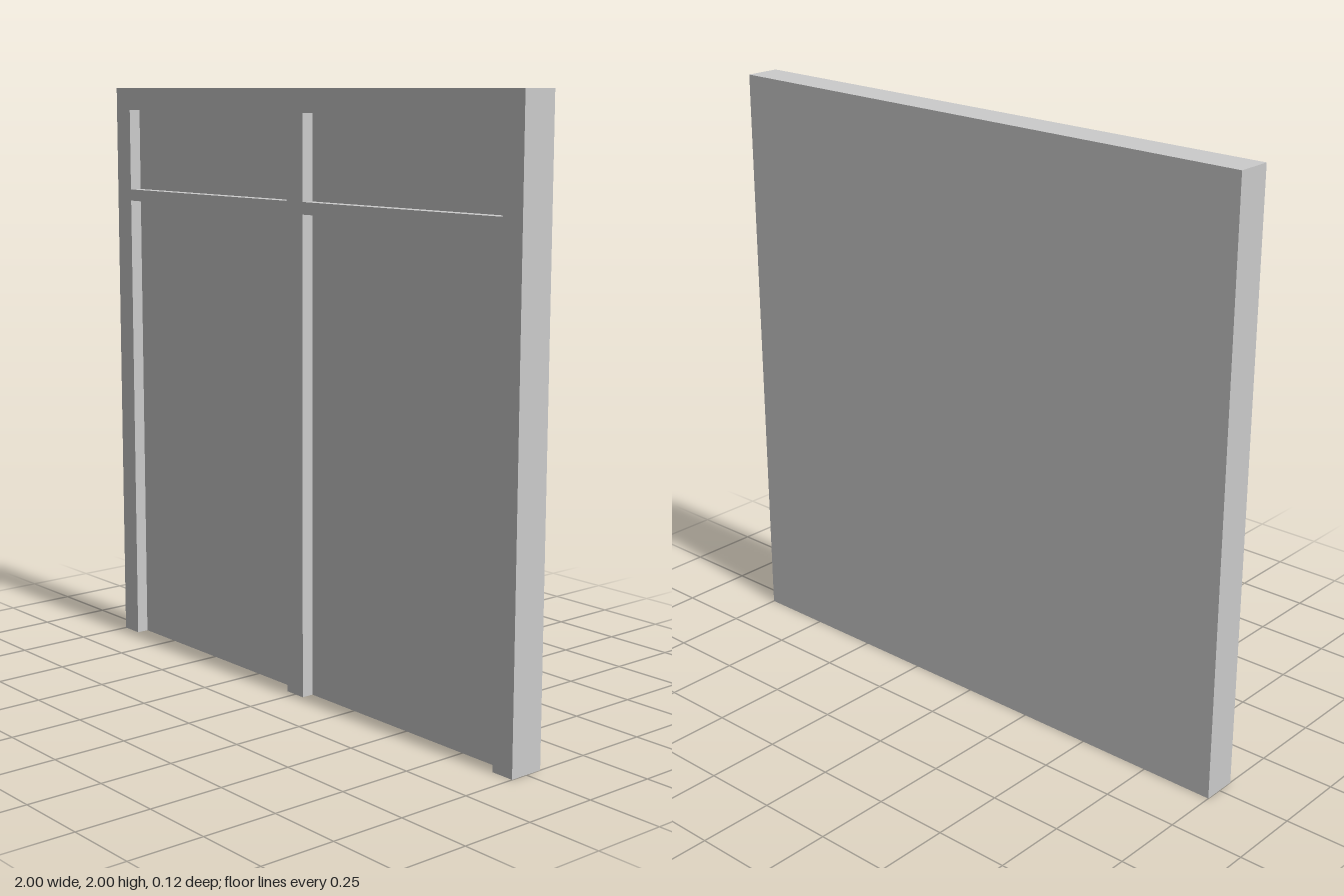
import * as THREE from 'three';

export function createModel() {
  const model = new THREE.Group();
  model.name = 'doubleDoorPanel';
  const material = new THREE.MeshStandardMaterial({ color: 0xcccccc, flatShading: true });

  const back = -0.06, recess = 0.018, front = 0.06;
  const inner = 0.04, outer = 0.92;            // opening edges either side of the middle post
  const doorTop = 1.603, lightBottom = 1.643, lightTop = 1.923;

  // Backing slab forming the recessed doors and top panels
  const slab = new THREE.Mesh(new THREE.BoxGeometry(2, 2, recess - back), material);
  slab.name = 'backPanel';
  slab.position.set(0, 1, (back + recess) / 2);
  model.add(slab);

  // Raised frame: outline open at the floor for both doors
  const outline = [
    [-1, 0], [-outer, 0], [-outer, doorTop], [-inner, doorTop], [-inner, 0],
    [inner, 0], [inner, doorTop], [outer, doorTop], [outer, 0], [1, 0], [1, 2], [-1, 2],
  ];
  const shape = new THREE.Shape(outline.map(([x, y]) => new THREE.Vector2(x, y)));

  // Upper panel openings, mirrored about the middle post
  for (const side of [-1, 1]) {
    const hole = [[inner, lightBottom], [inner, lightTop], [outer, lightTop], [outer, lightBottom]];
    shape.holes.push(new THREE.Path(hole.map(([x, y]) => new THREE.Vector2(side * x, y))));
  }

  const frame = new THREE.Mesh(
    new THREE.ExtrudeGeometry(shape, { depth: front - recess, bevelEnabled: false }), material);
  frame.name = 'frame';
  frame.position.z = recess;
  model.add(frame);

  return model;
}
